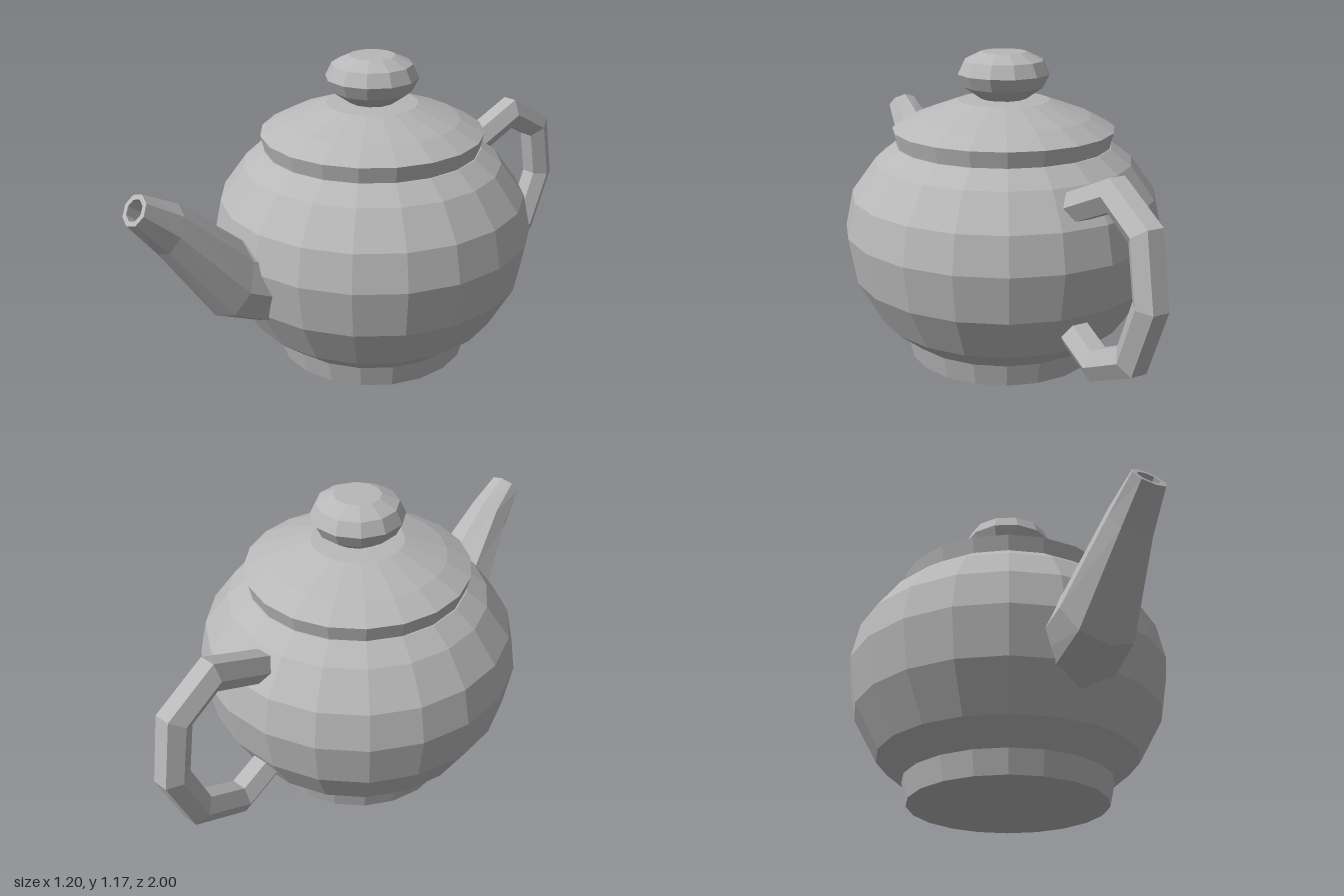
import * as THREE from 'three';

const clay = new THREE.MeshStandardMaterial({ color: 0xb8b8b8 });
clay.name = 'grey clay';

// Faceted mesh: unshared vertices give every face its own normal
function facet(name, geometry) {
  const g = geometry.index ? geometry.toNonIndexed() : geometry;
  g.computeVertexNormals();
  const mesh = new THREE.Mesh(g, clay);
  mesh.name = name;
  return mesh;
}

// Turned part; profile gives [distance to flat side, y], with flats facing the axes
function turned(name, profile, sides) {
  const k = 1 / Math.cos(Math.PI / sides);
  const points = profile.map(([r, y]) => new THREE.Vector2(r * k, y));
  const mesh = facet(name, new THREE.LatheGeometry(points, sides, Math.PI / sides));
  mesh.position.z = -0.006;
  return mesh;
}

// Skin over rings lying across the x = 0 plane: centre z, y; half height vector nz, ny; half width w
function loft(name, rings, sides) {
  const pos = [];
  const idx = [];
  rings.forEach(({ z, y, nz, ny, w }, r) => {
    for (let i = 0; i < sides; i++) {
      const a = (i / sides) * Math.PI * 2;
      const s = Math.sin(a);
      pos.push(Math.cos(a) * w, y + ny * s, z + nz * s);
      if (r === 0) continue;
      const j = (i + 1) % sides;
      const p = (r - 1) * sides;
      const q = r * sides;
      idx.push(p + i, p + j, q + j, p + i, q + j, q + i);
    }
  });
  const g = new THREE.BufferGeometry();
  g.setAttribute('position', new THREE.Float32BufferAttribute(pos, 3));
  g.setIndex(idx);
  return facet(name, g);
}

// Spout rings from lower and upper points [z, y], then a hollow mouth
function makeSpout() {
  const rings = [
    [[0.40, 0.20], [0.40, 0.52], 0.17],
    [[0.705, 0.343], [0.58, 0.60], 0.148],
    [[0.90, 0.64], [0.81, 0.80], 0.085],
    [[1.0, 0.772], [0.936, 0.866], 0.066],
  ].map(([lo, hi, w]) => ({
    z: (lo[0] + hi[0]) / 2, y: (lo[1] + hi[1]) / 2,
    nz: (hi[0] - lo[0]) / 2, ny: (hi[1] - lo[1]) / 2, w,
  }));
  const tip = rings[rings.length - 1];
  const inner = (scale, depth) => ({
    z: tip.z - depth * 0.78, y: tip.y - depth * 0.62,
    nz: tip.nz * scale, ny: tip.ny * scale, w: tip.w * scale,
  });
  rings.push(inner(0.68, 0), inner(0.68, 0.08), inner(0, 0.08));
  return loft('spout', rings, 8);
}

// Handle rings mitred at each bend of the path
function makeHandle() {
  const path = [
    [-0.45, 0.68], [-0.743, 0.81], [-0.905, 0.72], [-0.945, 0.50],
    [-0.86, 0.285], [-0.67, 0.19], [-0.42, 0.295],
  ].map(([z, y]) => new THREE.Vector2(z, y));
  const radius = 0.06;
  const last = path.length - 1;
  const rings = path.map((p, i) => {
    const before = p.clone().sub(path[Math.max(i - 1, 0)]).normalize();
    const after = path[Math.min(i + 1, last)].clone().sub(p).normalize();
    const t = before.clone().add(after).normalize();
    const stretch = radius / t.dot(i < last ? after : before);
    return { z: p.x, y: p.y, nz: -t.y * stretch, ny: t.x * stretch, w: radius };
  });
  return loft('handle', rings, 6);
}

export function createModel() {
  const model = new THREE.Group();
  model.name = 'teapot';
  model.add(
    turned('foot', [[0, 0], [0.366, 0], [0.385, 0.087]], 20),
    turned('body', [
      [0.385, 0.087], [0.481, 0.167], [0.571, 0.333], [0.6, 0.51],
      [0.571, 0.647], [0.481, 0.772], [0.405, 0.83], [0.38, 0.83],
    ], 20),
    turned('lid', [
      [0.38, 0.83], [0.4, 0.83], [0.414, 0.89], [0.325, 0.938], [0.17, 0.995], [0, 1.005],
    ], 20),
    turned('knob', [
      [0.083, 1.0], [0.145, 1.045], [0.168, 1.093], [0.145, 1.142], [0.083, 1.173], [0, 1.173],
    ], 12),
    makeSpout(),
    makeHandle(),
  );
  return model;
}
